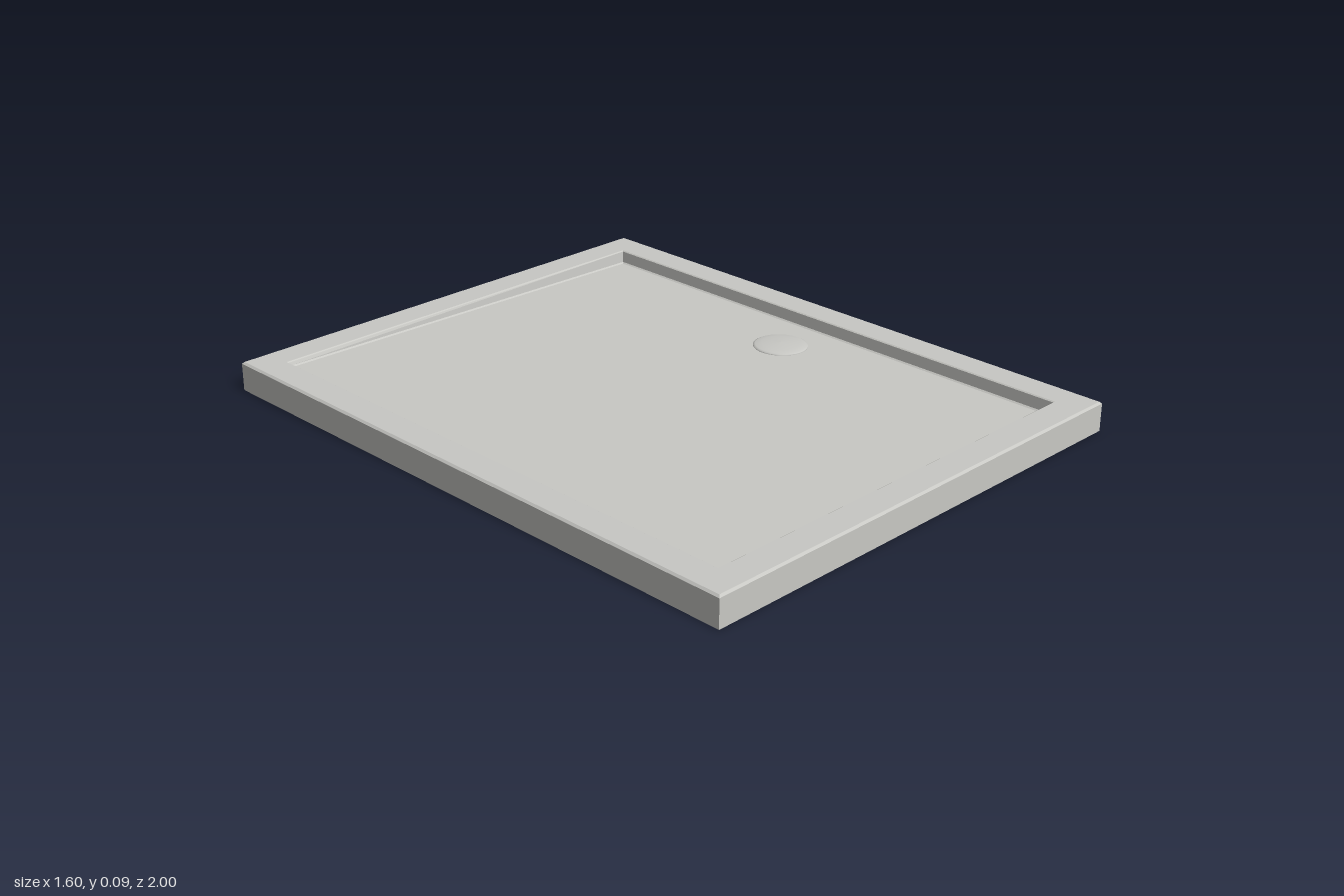
import * as THREE from 'three';

const HEIGHT = 0.093;
// The floor falls gently towards the drain side (+x)
const floorY = (x) => 0.0635 - 0.0193 * x;

// Four corners of a rectangle; y is a number or a rule of x
const ring = (hx, hz, y) =>
  [[-hx, hz], [hx, hz], [hx, -hz], [-hx, -hz]].map(([x, z]) =>
    new THREE.Vector3(x, typeof y === 'function' ? y(x) : y, z));

// Flat-faced skin joining successive rings, optionally closed by the last one
function skin(rings, cap) {
  const points = [];
  const quad = (a, b, c, d) => points.push(a, b, c, a, c, d);
  for (let i = 0; i < rings.length - 1; i++) {
    for (let k = 0; k < 4; k++) {
      const n = (k + 1) % 4;
      quad(rings[i][k], rings[i][n], rings[i + 1][n], rings[i + 1][k]);
    }
  }
  if (cap) quad(...rings[rings.length - 1]);
  const geometry = new THREE.BufferGeometry().setFromPoints(points);
  geometry.computeVertexNormals();
  return geometry;
}

export function createModel() {
  const group = new THREE.Group();
  const enamel = new THREE.MeshStandardMaterial({ color: 0xc8c8c4, side: THREE.DoubleSide });
  enamel.name = 'warm grey enamel';

  const add = (name, geometry) => {
    const mesh = new THREE.Mesh(geometry, enamel);
    mesh.name = name;
    group.add(mesh);
    return mesh;
  };

  // Outer skirt, open below, with a small bevel at the top edge
  add('skirt', skin([
    ring(0.8, 1, 0),
    ring(0.8, 1, HEIGHT - 0.006),
    ring(0.794, 0.994, HEIGHT),
  ]));

  // Flat rim around the basin
  add('rim', skin([ring(0.794, 0.994, HEIGHT), ring(0.704, 0.904, HEIGHT)]));

  // Steep basin walls with a softened lip and foot, and the sloping floor
  add('basin', skin([
    ring(0.704, 0.904, HEIGHT),
    ring(0.7, 0.9, HEIGHT - 0.003),
    ring(0.696, 0.896, (x) => floorY(x) + 0.004),
    ring(0.691, 0.891, floorY),
  ], true));

  // Drain, tilted with the floor
  const drain = new THREE.Group();
  drain.name = 'drain';
  drain.position.set(0.525, floorY(0.525), -0.003);
  drain.rotation.z = -0.0193;
  group.add(drain);

  // Shallow domed cover
  const profile = [[0.086, 0], [0.086, 0.003], [0.08, 0.006], [0.06, 0.009], [0.03, 0.011], [0, 0.012]];
  drain.add(add('drainCover', new THREE.LatheGeometry(
    profile.map(([r, y]) => new THREE.Vector2(r, y)), 48)));

  // Thin collar under the floor
  const collar = add('drainCollar', new THREE.TorusGeometry(0.08, 0.004, 8, 48));
  collar.rotation.x = Math.PI / 2;
  drain.add(collar);

  return group;
}
